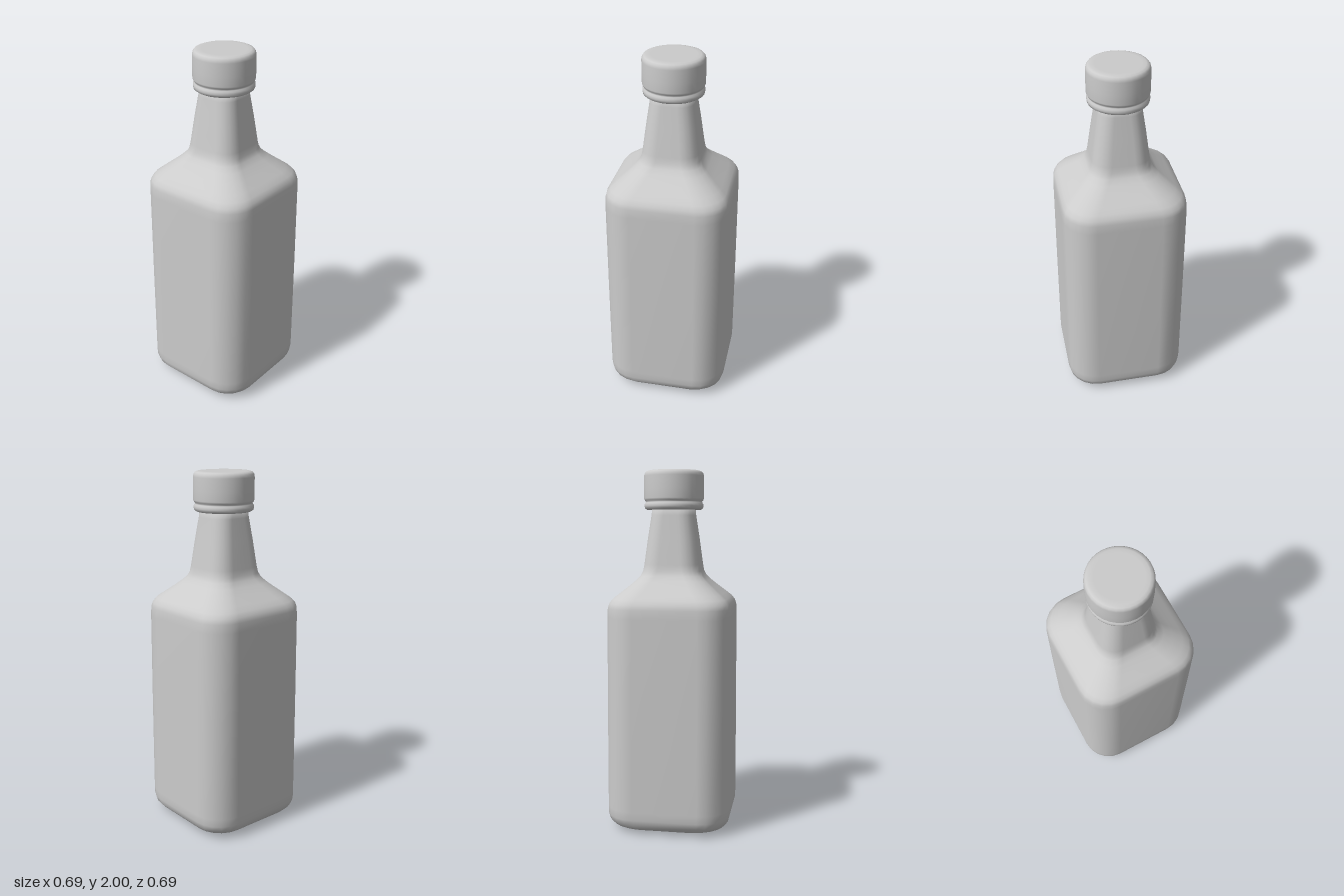
import * as THREE from 'three';

const material = () => new THREE.MeshStandardMaterial({ color: 0xcccccc });
const CORNER_STEPS = 5;

// Rounded-square ring: half width w, corner radius as a fraction of w
function ring(w, y, round) {
  const points = [];
  const r = w * round, c = w - r;
  for (let q = 0; q < 4; q++) {
    const mid = (q + 0.5) * Math.PI / 2;
    const cx = Math.sign(Math.cos(mid)) * c, cz = Math.sign(Math.sin(mid)) * c;
    for (let i = 0; i <= CORNER_STEPS; i++) {
      const a = (q + i / CORNER_STEPS) * Math.PI / 2;
      points.push([cx + r * Math.cos(a), y, cz + r * Math.sin(a)]);
    }
  }
  return points;
}

// Skin a stack of rings from bottom to top and close both ends
function loft(rings) {
  const n = rings[0].length;
  const positions = rings.flat(2);
  const index = [];
  for (let j = 0; j < rings.length - 1; j++) {
    for (let i = 0; i < n; i++) {
      const a = j * n + i, b = j * n + (i + 1) % n;
      index.push(a, a + n, b, b, a + n, b + n);
    }
  }
  const bottom = positions.length / 3, top = bottom + 1;
  const last = (rings.length - 1) * n;
  positions.push(0, rings[0][0][1], 0, 0, rings[rings.length - 1][0][1], 0);
  for (let i = 0; i < n; i++) {
    const k = (i + 1) % n;
    index.push(bottom, i, k, top, last + k, last + i);
  }
  const geometry = new THREE.BufferGeometry();
  geometry.setAttribute('position', new THREE.Float32BufferAttribute(positions, 3));
  geometry.setIndex(index);
  geometry.computeVertexNormals();
  return geometry;
}

export function createModel() {
  const group = new THREE.Group();
  group.name = 'bottle';

  // Glass: square body, sloping shoulder and tapered neck [half width, y, roundness]
  const profile = [
    [0.2, 0, 0.5], [0.25, 0.003, 0.5], [0.285, 0.012, 0.49], [0.315, 0.028, 0.48],
    [0.336, 0.052, 0.48], [0.345, 0.085, 0.48], [0.346, 0.13, 0.48],
    [0.344, 0.7, 0.48], [0.341, 1.2, 0.48], [0.339, 1.25, 0.48],
    [0.332, 1.276, 0.48], [0.315, 1.3, 0.48], [0.285, 1.325, 0.49],
    [0.24, 1.362, 0.51], [0.2, 1.397, 0.54], [0.175, 1.424, 0.56],
    [0.163, 1.45, 0.58], [0.157, 1.485, 0.6], [0.138, 1.63, 0.62],
    [0.12, 1.755, 0.66], [0.115, 1.81, 0.7],
  ];
  const body = new THREE.Mesh(loft(profile.map(([w, y, r]) => ring(w, y, r))), material());
  body.name = 'glassBody';
  group.add(body);

  // Screw cap with a rolled band and a groove near its lower edge
  const capProfile = [
    [0, 1.79], [0.13, 1.786], [0.152, 1.787], [0.162, 1.794], [0.165, 1.806],
    [0.164, 1.818], [0.158, 1.826], [0.157, 1.832], [0.163, 1.838], [0.167, 1.848],
    [0.167, 1.9], [0.167, 1.97], [0.164, 1.985], [0.156, 1.995], [0.142, 2], [0.12, 2], [0, 2],
  ].map(([x, y]) => new THREE.Vector2(x, y));
  const cap = new THREE.Mesh(new THREE.LatheGeometry(capProfile, 32), material());
  cap.name = 'cap';
  group.add(cap);

  return group;
}
